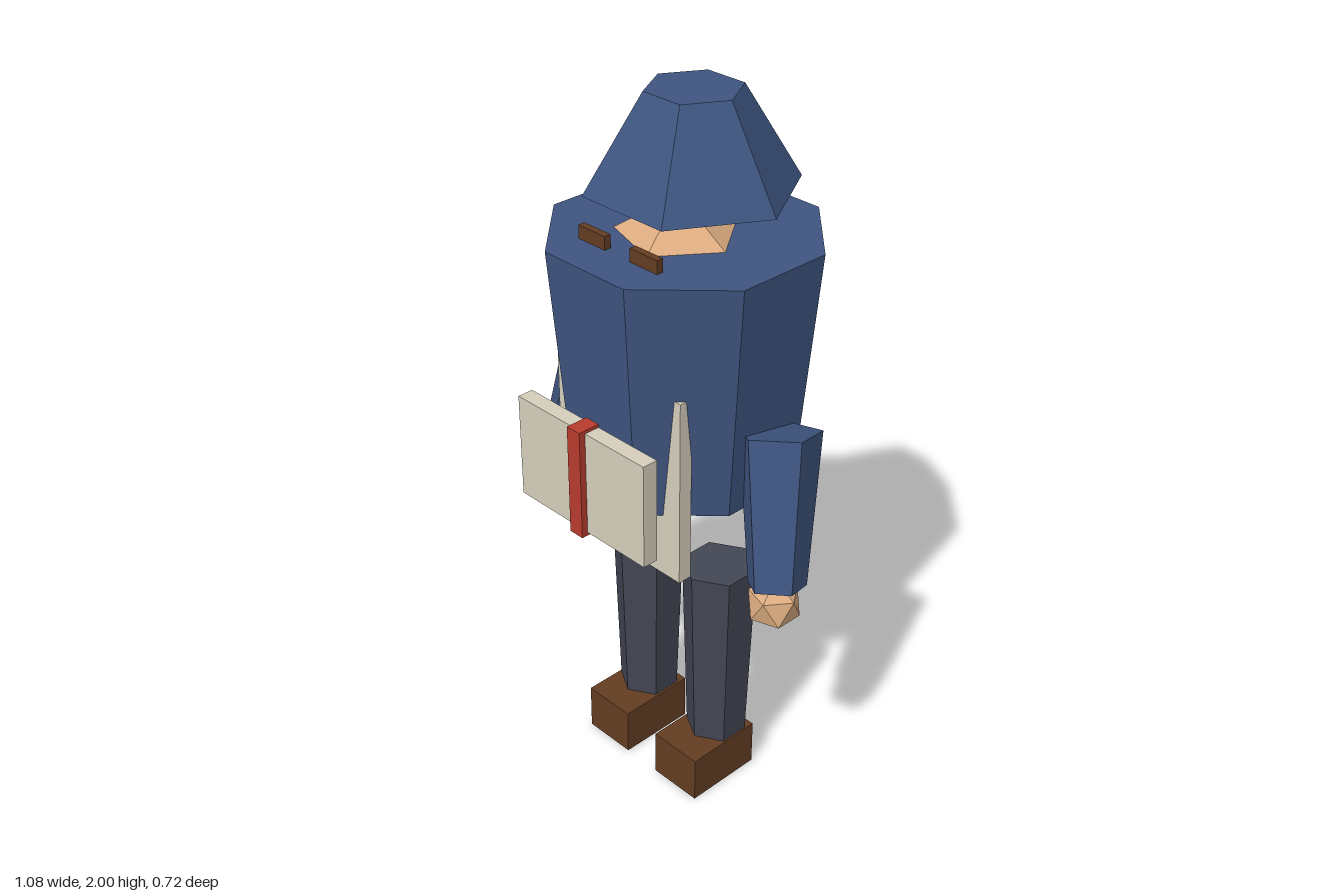
import * as THREE from 'three';

const CX = 0.055; // mirror plane of the figure

function mat(name, color) {
  const m = new THREE.MeshStandardMaterial({ color, flatShading: true });
  m.name = name;
  return m;
}

export function createModel() {
  const blue = mat('coat blue', 0x3f5580);
  const grey = mat('trouser grey', 0x434754);
  const brown = mat('leather brown', 0x633d22);
  const skin = mat('skin', 0xdcac80);
  const paper = mat('paper', 0xd6cfbc);
  const red = mat('strap red', 0xb83c2e);

  const model = new THREE.Group();
  model.name = 'courier';

  const add = (name, geometry, material, x, y, z) => {
    const mesh = new THREE.Mesh(geometry, material);
    mesh.name = name;
    mesh.position.set(x, y, z);
    model.add(mesh);
    return mesh;
  };
  const box = (w, h, d) => new THREE.BoxGeometry(w, h, d);
  const prism = (rTop, rBottom, h, sides, turn = 0) =>
    new THREE.CylinderGeometry(rTop, rBottom, h, sides).rotateY(turn);
  // Icosahedron standing on one corner
  const ball = (r) => new THREE.IcosahedronGeometry(r, 0).rotateZ(-Math.atan(2 / (1 + Math.sqrt(5))));

  // Hat, head and coat
  add('hat', prism(0.125, 0.277, 0.25, 6, Math.PI / 6), blue, CX, 1.875, -0.05);
  add('head', ball(0.19), skin, CX, 1.553, 0);
  add('coat', prism(0.363, 0.307, 0.66, 8, Math.PI / 8), blue, CX, 1.313, -0.025);

  for (const side of [-1, 1]) {
    const label = side > 0 ? 'left' : 'right';
    const at = (offset) => CX + side * offset;

    // Brow, leg and boot
    add(label + 'Brow', box(0.094, 0.036, 0.02), brown, at(0.091), 1.662, 0.193);
    add(label + 'Leg', prism(0.104, 0.086, 0.562, 6), grey, at(0.14), 0.42, -0.024);
    add(label + 'Boot', box(0.161, 0.139, 0.233), brown, at(0.139), 0.0695, 0.021);

    // Arm leaning outward and forward, with a hand at its end
    const top = new THREE.Vector3(at(0.33), 1.2, -0.032);
    const bottom = new THREE.Vector3(at(0.413), 0.81, 0.048);
    const axis = top.clone().sub(bottom);
    const mid = top.clone().add(bottom).multiplyScalar(0.5);
    const arm = add(label + 'Arm', prism(0.112, 0.08, axis.length(), 5), blue, mid.x, mid.y, mid.z);
    arm.quaternion.setFromUnitVectors(new THREE.Vector3(0, 1, 0), axis.normalize());
    add(label + 'Hand', ball(0.075), skin, at(0.417), 0.767, 0.058);
  }

  // Satchel board sunk into the coat, with a strapped parcel in front
  add('satchel', box(0.451, 0.53, 0.04), paper, CX, 1.067, 0.19);
  add('parcel', box(0.466, 0.295, 0.045), paper, CX, 1.068, 0.317);
  add('parcelStrap', box(0.046, 0.313, 0.064), red, CX, 1.068, 0.326);

  // Rolled scrolls and the round bag at the model's right
  for (const [i, x] of [-0.437, -0.309].entries()) {
    add('scroll' + (i + 1), prism(0.064, 0.064, 0.36, 6, Math.PI / 6), paper, x, 1.27, -0.2);
  }
  add('bag', ball(0.188), brown, -0.372, 0.766, -0.153);

  return model;
}
